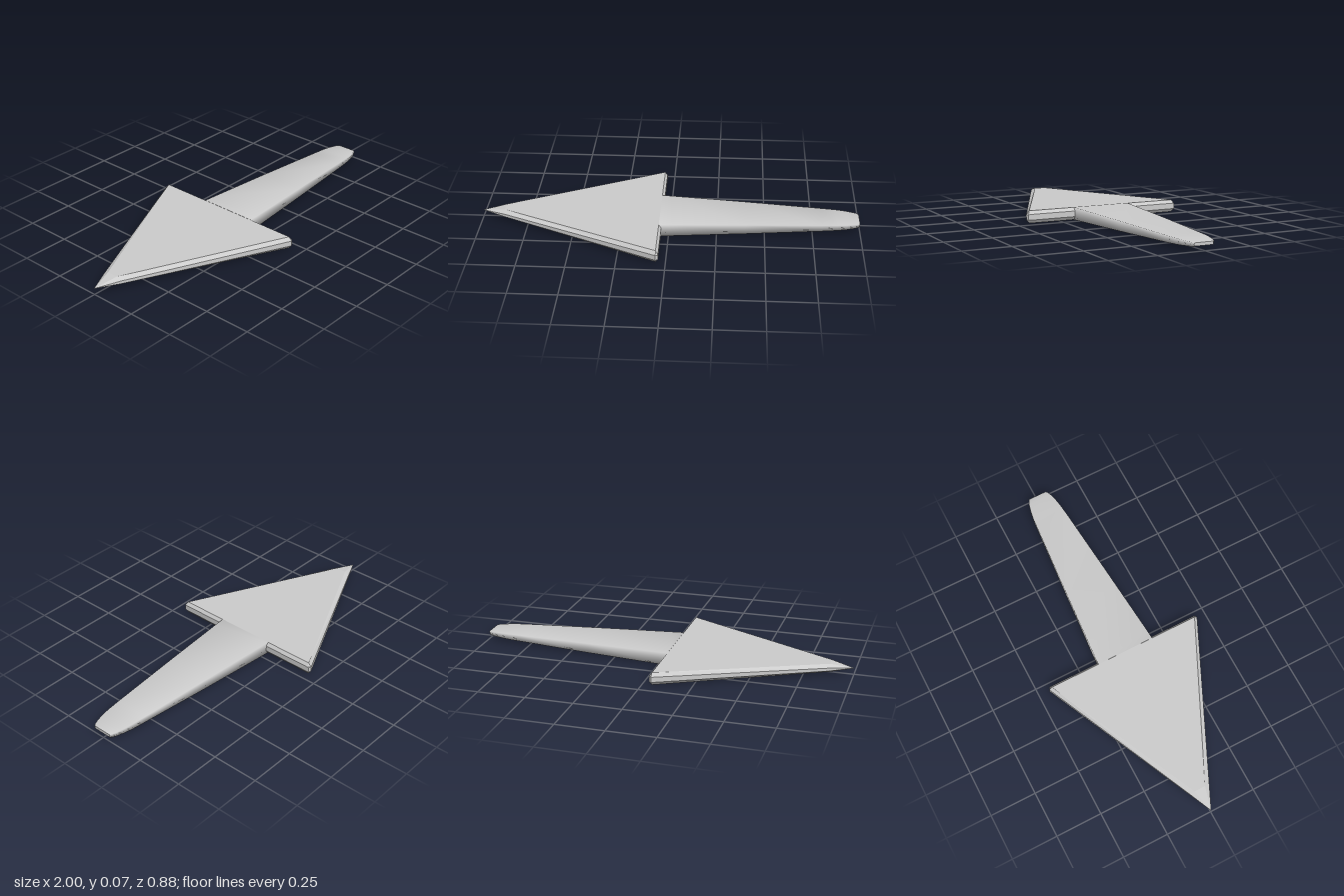
import * as THREE from 'three';

const MID = 0.037; // height of the centre plane

// Skin a list of [x, ring] sections, each ring a list of [y, z], and close both ends.
function loft(sections, flat) {
  const n = sections[0][1].length;
  const pos = [], idx = [];
  const addRing = ([x, ring]) => {
    const start = pos.length / 3;
    ring.forEach(([y, z]) => pos.push(x, y, z));
    return start;
  };
  sections.forEach(addRing);
  for (let i = 0; i < sections.length - 1; i++) {
    for (let j = 0; j < n; j++) {
      const k = (j + 1) % n;
      const a = i * n + j, b = i * n + k, c = b + n, d = a + n;
      idx.push(a, b, c, a, c, d);
    }
  }
  const first = addRing(sections[0]);
  const last = addRing(sections[sections.length - 1]);
  for (let j = 1; j < n - 1; j++) {
    idx.push(first, first + j + 1, first + j);
    idx.push(last, last + j, last + j + 1);
  }
  let g = new THREE.BufferGeometry();
  g.setAttribute('position', new THREE.Float32BufferAttribute(pos, 3));
  g.setIndex(idx);
  if (flat) g = g.toNonIndexed();
  g.computeVertexNormals();
  return g;
}

// Eight-sided section: flat top and bottom, bevelled long edges.
const bevelled = (h, hEdge, zFlat, zEdge) => {
  const half = [[h, zFlat], [hEdge, zEdge], [-hEdge, zEdge], [-h, zFlat]];
  const other = half.map(([y, z]) => [y, -z]).reverse();
  return [...half, ...other].map(([y, z]) => [MID + y, z]);
};

// Four-sided section of the tang.
const slab = (h, zBack, zFront) => [
  [MID + h, zFront], [MID - h, zFront], [MID - h, zBack], [MID + h, zBack],
];

export function createModel() {
  const group = new THREE.Group();
  const add = (name, geometry, flatShading) => {
    const mesh = new THREE.Mesh(
      geometry, new THREE.MeshStandardMaterial({ color: 0xcccccc, flatShading }));
    mesh.name = name;
    group.add(mesh);
  };

  // Triangular head, tapering to a faceted point
  add('arrowHead', loft([
    [-1, bevelled(0.0005, 0.0002, 0.0005, 0.001)],
    [-0.88, bevelled(0.022, 0.008, 0.03, 0.056)],
    [-0.05, bevelled(0.033, 0.014, 0.425, 0.442)],
    [-0.037, bevelled(0.015, 0.013, 0.425, 0.435)],
  ], true), true);

  // Tapered tang with a rounded end: [x, half height, back z, front z]
  const tang = [
    [-0.05, 0.034, -0.152, 0.168], [0, 0.033, -0.149, 0.165],
    [0.4, 0.026, -0.118, 0.133], [0.8, 0.017, -0.085, 0.1],
    [0.88, 0.015, -0.078, 0.092], [0.93, 0.013, -0.07, 0.084],
    [0.97, 0.011, -0.06, 0.073], [0.99, 0.01, -0.052, 0.065],
    [1, 0.008, -0.045, 0.058],
  ];
  add('tang', loft(tang.map(([x, h, zb, zf]) => [x, slab(h, zb, zf)]), false), false);

  return group;
}
